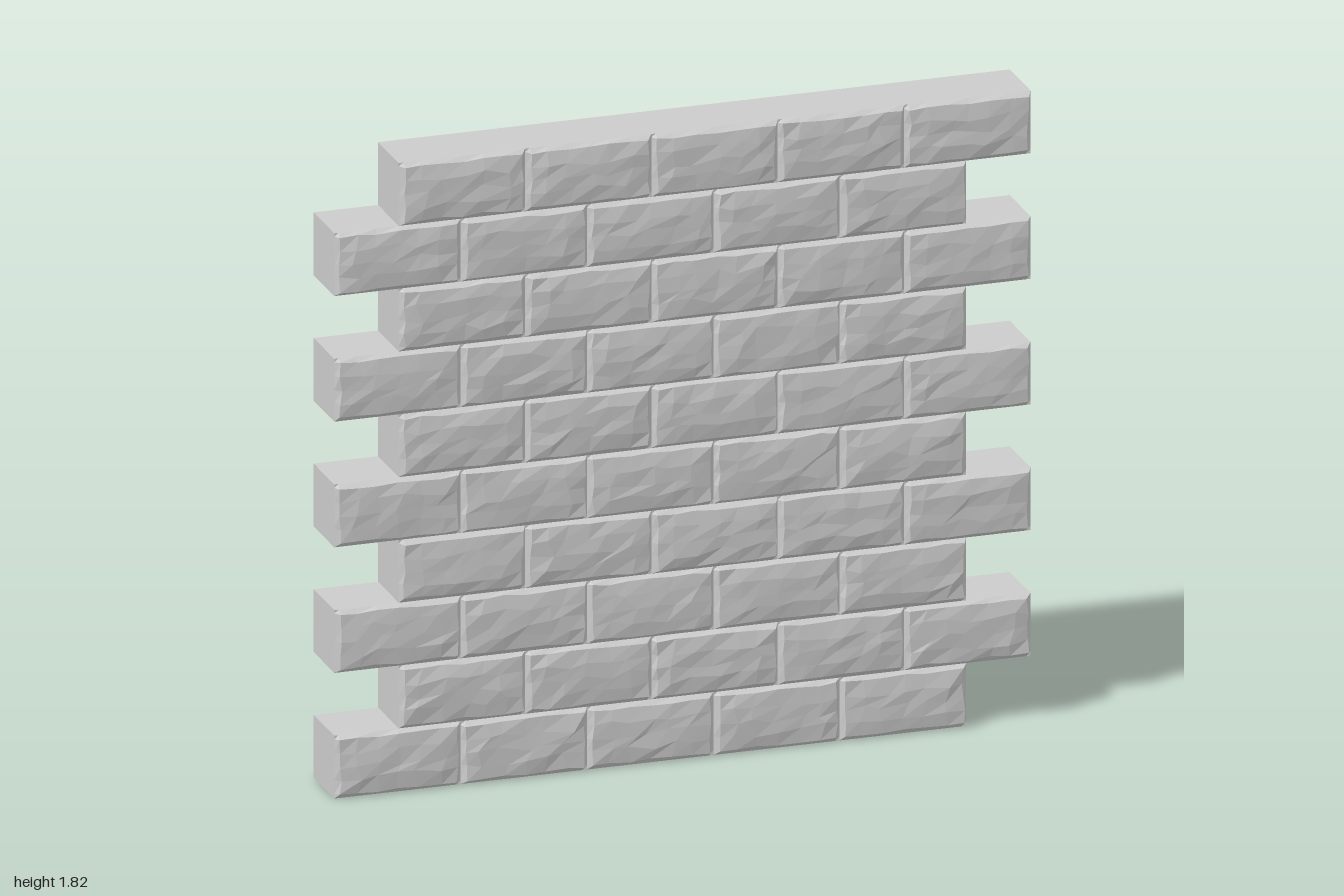
import * as THREE from 'three';

const ROWS = 10, PER_ROW = 5;
const H = 0.182, W = 0.363;          // brick height and width
const SHIFT = 0.185;                 // offset between alternate courses
const BACK = -0.1, GROOVE = 0.076, FACE = 0.092;

function seeded(seed) {
  let s = seed;
  return () => (s = (s * 16807) % 2147483647) / 2147483647;
}

// Chipped brick face: rim at groove depth, steep bevel, uneven facets inside
function brickFace(rand) {
  const us = [0, 0.035, 0.17, 0.33, 0.5, 0.66, 0.83, 0.965, 1];
  const vs = [0, 0.075, 0.3, 0.5, 0.72, 0.945, 1];
  const nx = us.length - 1, ny = vs.length - 1;
  const geo = new THREE.PlaneGeometry(1, 1, nx, ny);
  const pos = geo.attributes.position;
  for (let j = 0; j <= ny; j++) {
    for (let i = 0; i <= nx; i++) {
      const edge = Math.min(i, nx - i, j, ny - j);
      let x = us[i] * W, y = vs[ny - j] * H, z = GROOVE;
      if (edge === 1) {
        x += (rand() - 0.5) * 0.009;
        y += (rand() - 0.5) * 0.007;
        z = FACE + (rand() - 0.5) * 0.005;
      } else if (edge > 1) {
        x += (rand() - 0.5) * 0.04;
        y += (rand() - 0.5) * 0.022;
        z = FACE + 0.0025 + rand() * 0.0055;
      }
      pos.setXYZ(j * (nx + 1) + i, x, y, z);
    }
  }
  geo.computeVertexNormals();
  return geo;
}

export function createModel() {
  const wall = new THREE.Group();
  wall.name = 'brickWall';
  const material = new THREE.MeshStandardMaterial({
    color: 0xcccccc, flatShading: true, side: THREE.DoubleSide,
  });
  const rand = seeded(4711);
  const depth = GROOVE - BACK, midZ = (GROOVE + BACK) / 2;

  function add(parent, geo, name, x, y, z) {
    const mesh = new THREE.Mesh(geo, material);
    mesh.name = name;
    mesh.position.set(x, y, z);
    parent.add(mesh);
  }
  // Horizontal panel spanning x0..x1 at height y
  function ledge(name, x0, x1, y, up) {
    const geo = new THREE.PlaneGeometry(x1 - x0, depth).rotateX(up ? -Math.PI / 2 : Math.PI / 2);
    add(wall, geo, name, (x0 + x1) / 2, y, midZ);
  }

  // Courses of bricks with an end panel on each side; the back stays open
  for (let r = 0; r < ROWS; r++) {
    const course = new THREE.Group();
    course.name = 'course' + (r + 1);
    wall.add(course);
    const x0 = r % 2 ? -1 + SHIFT : -1;
    for (let b = 0; b < PER_ROW; b++) {
      add(course, brickFace(rand), 'brick', x0 + b * W, r * H, 0);
    }
    for (const side of [-1, 1]) {
      const geo = new THREE.PlaneGeometry(depth, H).rotateY(side * Math.PI / 2);
      add(course, geo, 'endPanel', side < 0 ? x0 : x0 + PER_ROW * W, (r + 0.5) * H, midZ);
    }
    // Steps exposed where the next course is offset
    if (r < ROWS - 1) {
      const even = r % 2 === 0;
      ledge('leftStep', 1 - SHIFT, 1, (r + 1) * H, !even);
      ledge('rightStep', -1, -1 + SHIFT, (r + 1) * H, even);
    }
  }

  // Bottom and top closing panels
  ledge('bottomPanel', -1, 1 - SHIFT, 0, false);
  ledge('topPanel', -1 + SHIFT, 1, ROWS * H, true);
  return wall;
}
